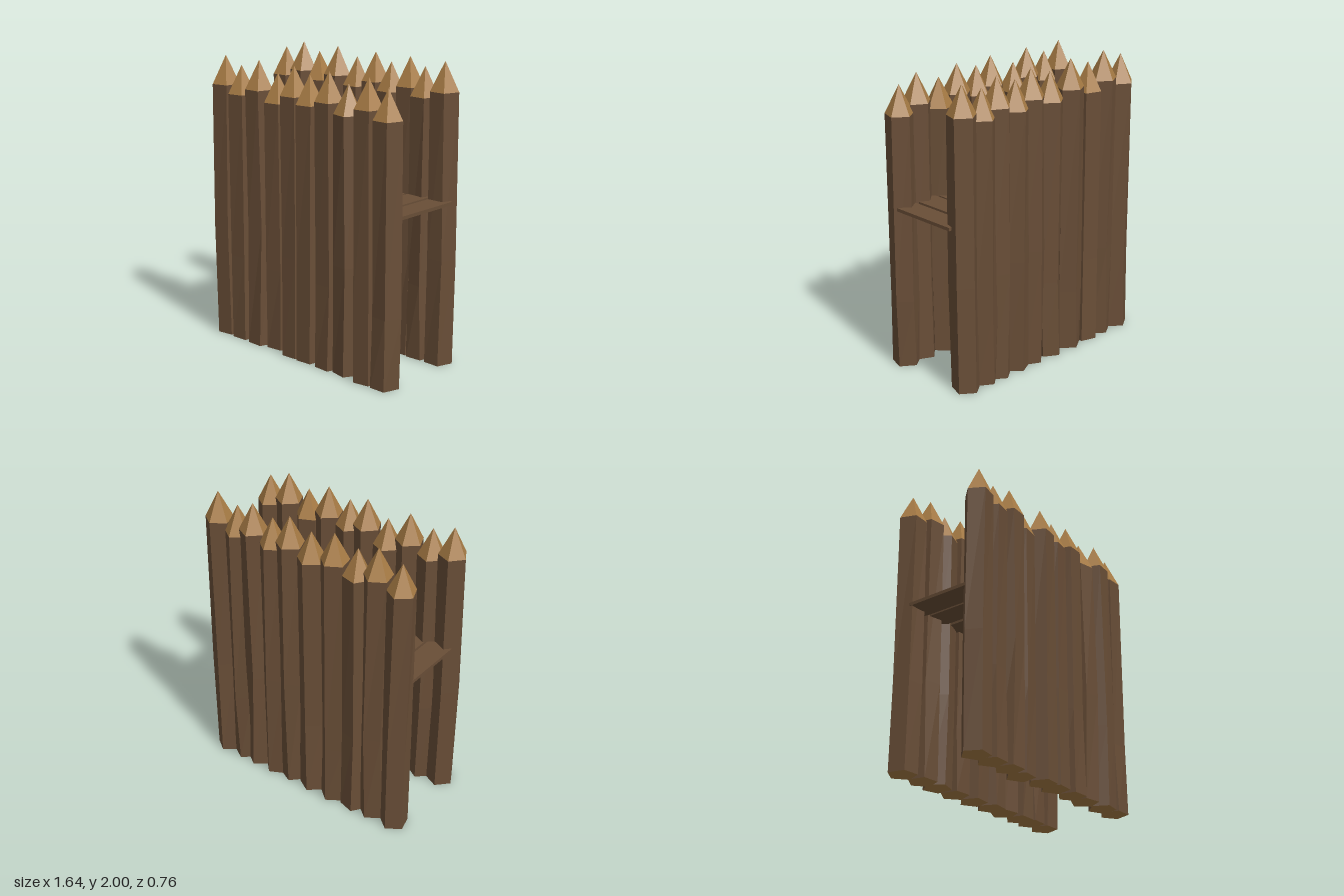
import * as THREE from 'three';

const SIDES = 5, RADIUS = 0.096, TIP = 0.19;

// small seeded generator, returns -1..1
function seeded(seed) {
  let s = seed;
  return () => {
    s = (s * 16807) % 2147483647;
    return (s / 2147483647) * 2 - 1;
  };
}

export function createModel() {
  const wood = new THREE.MeshStandardMaterial({ color: 0x694e37, flatShading: true });
  wood.name = 'brown bark';
  const cut = new THREE.MeshStandardMaterial({ color: 0xa87c45, flatShading: true });
  cut.name = 'cut wood';
  const root = new THREE.Group();
  root.name = 'palisade';
  const rand = seeded(4711);

  const add = (parent, geometry, material, name) => {
    const mesh = new THREE.Mesh(geometry, material);
    mesh.name = name;
    parent.add(mesh);
    return mesh;
  };

  // corner i of a log ring
  const corner = (ring, i) => {
    const t = Math.PI / 2 - ring.angle + (i * Math.PI * 2) / SIDES;
    return [ring.x + RADIUS * Math.sin(t), ring.y, ring.z + RADIUS * Math.cos(t)];
  };

  // five-sided, slightly crooked log with a sharpened end
  function makeLog(name, x, z, shoulder, degrees) {
    const log = new THREE.Group();
    log.name = name;
    const angle = THREE.MathUtils.degToRad(degrees);
    const rings = [
      { x, z, y: shoulder, angle },
      { x: x + rand() * 0.007, z: z + rand() * 0.008, y: 0.68 + rand() * 0.28, angle: angle + rand() * 0.14 },
      { x: x + rand() * 0.005, z: z + rand() * 0.005, y: 0, angle: angle + rand() * 0.14 },
    ];

    // shaft through the three rings
    const shaft = new THREE.CylinderGeometry(RADIUS, RADIUS, 1, SIDES, 2, true);
    rings.forEach((ring, row) => {
      for (let i = 0; i <= SIDES; i++) {
        shaft.attributes.position.setXYZ(row * (SIDES + 1) + i, ...corner(ring, i));
      }
    });
    shaft.computeVertexNormals();
    add(log, shaft, wood, 'shaft');

    // sharpened point on the top ring
    const point = new THREE.ConeGeometry(RADIUS, TIP, SIDES, 1, true);
    for (let i = 0; i <= SIDES; i++) {
      point.attributes.position.setXYZ(i, x, shoulder + TIP, z);
      point.attributes.position.setXYZ(SIDES + 1 + i, ...corner(rings[0], i));
    }
    point.computeVertexNormals();
    add(log, point, cut, 'point');

    // sawn underside, facing down
    const base = new THREE.CircleGeometry(RADIUS, SIDES);
    base.attributes.position.setXYZ(0, rings[2].x, 0, rings[2].z);
    for (let i = 0; i <= SIDES; i++) {
      base.attributes.position.setXYZ(i + 1, ...corner(rings[2], -i));
    }
    base.computeVertexNormals();
    add(log, base, cut, 'base');
    root.add(log);
  }

  // front row: x, z, shoulder height, corner angle
  [
    [-0.72, 0.28, 1.76, 42], [-0.57, 0.275, 1.71, 44], [-0.40, 0.275, 1.76, 50],
    [-0.25, 0.25, 1.69, 45], [-0.07, 0.28, 1.76, 46], [0.065, 0.275, 1.72, 44],
    [0.235, 0.275, 1.76, 52], [0.395, 0.27, 1.70, 66], [0.57, 0.28, 1.76, 48],
    [0.72, 0.272, 1.71, 54],
  ].forEach((p, i) => makeLog(`frontLog${i + 1}`, ...p));

  // back row, a little taller
  [
    [-0.72, -0.285, 1.76, 50], [-0.548, -0.285, 1.81, 60], [-0.40, -0.285, 1.76, 34],
    [-0.23, -0.29, 1.81, 60], [-0.048, -0.283, 1.76, 54], [0.12, -0.28, 1.81, 50],
    [0.256, -0.28, 1.76, 56], [0.415, -0.28, 1.81, 46], [0.54, -0.28, 1.76, 54],
    [0.70, -0.28, 1.81, 54],
  ].forEach((p, i) => makeLog(`backLog${i + 1}`, ...p));

  // walkway planks between the rows: left and right edge in x
  [
    [-0.78, -0.61], [-0.595, -0.435], [-0.41, -0.26], [-0.24, -0.09], [-0.07, 0.09],
    [0.105, 0.26], [0.28, 0.455], [0.47, 0.625], [0.65, 0.80],
  ].forEach(([a, b], i) => {
    const plank = add(root, new THREE.BoxGeometry(b - a, 0.022, 0.51), wood, `walkwayPlank${i + 1}`);
    plank.position.set((a + b) / 2, 1.107, -0.005);
  });

  return root;
}
